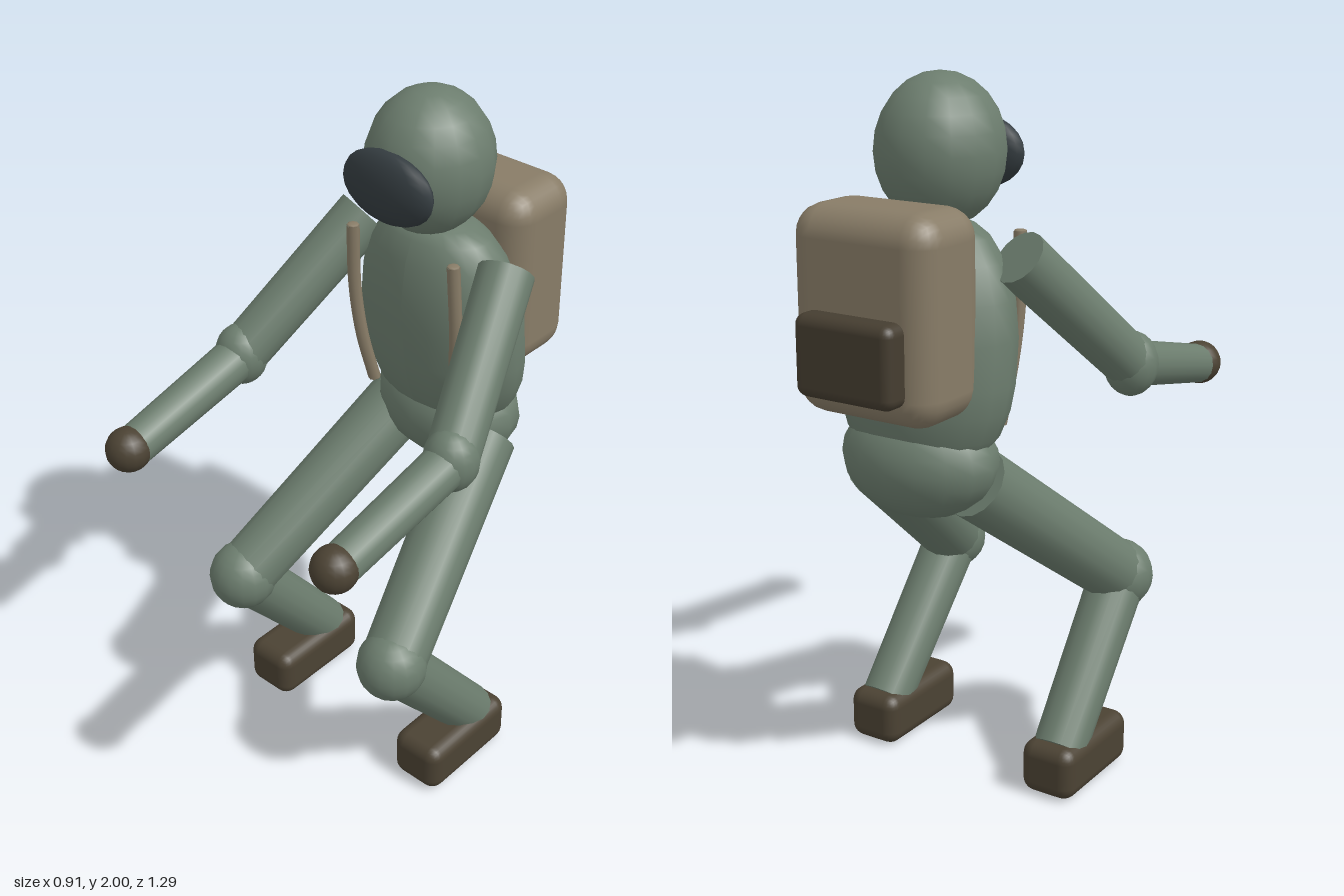
import * as THREE from 'three';
import { RoundedBoxGeometry } from 'three/addons/geometries/RoundedBoxGeometry.js';

const material = (name, color) => {
  const m = new THREE.MeshStandardMaterial({ color });
  m.name = name;
  return m;
};

export function createModel() {
  const model = new THREE.Group();
  model.name = 'crouchingExplorer';

  const suit = material('suit green', 0x6c7d6e);
  const canvas = material('canvas tan', 0x887c67);
  const leather = material('leather brown', 0x4b4233);
  const pocketBrown = material('pocket brown', 0x453d30);
  const glass = material('visor glass', 0x343c40);

  const add = (name, geometry, mat, position = [0, 0, 0]) => {
    const mesh = new THREE.Mesh(geometry, mat);
    mesh.name = name;
    mesh.position.set(...position);
    model.add(mesh);
    return mesh;
  };

  const ellipsoid = (name, mat, position, [rx, ry, rz]) =>
    add(name, new THREE.SphereGeometry(1, 16, 12).scale(rx, ry, rz), mat, position);

  // Tapered cylinder running from point a to point b
  const limb = (name, mat, a, b, ra, rb) => {
    const start = new THREE.Vector3(...a);
    const end = new THREE.Vector3(...b);
    const dir = end.clone().sub(start);
    const mesh = add(name, new THREE.CylinderGeometry(rb, ra, dir.length(), 16), mat);
    mesh.position.copy(start).add(end).multiplyScalar(0.5);
    mesh.quaternion.setFromUnitVectors(new THREE.Vector3(0, 1, 0), dir.normalize());
  };

  const box = (name, mat, position, [w, h, d], radius) =>
    add(name, new RoundedBoxGeometry(w, h, d, 3, radius), mat, position);

  // Torso: flattened barrel that leans forward towards the head
  const profile = [
    [0, 1.0], [0.13, 1.01], [0.19, 1.035], [0.225, 1.08], [0.25, 1.15], [0.26, 1.22],
    [0.26, 1.34], [0.245, 1.44], [0.21, 1.53], [0.165, 1.59], [0.12, 1.62], [0, 1.63],
  ].map(([r, y]) => new THREE.Vector2(r, y));
  const torso = new THREE.LatheGeometry(profile, 20);
  const p = torso.attributes.position;
  for (let i = 0; i < p.count; i++) {
    const lean = -0.305 + (p.getY(i) - 1.02) * 0.11;
    p.setZ(i, p.getZ(i) * 0.66 + lean);
  }
  torso.computeVertexNormals();
  add('torso', torso, suit);
  ellipsoid('pelvis', suit, [0, 1.0, -0.31], [0.23, 0.16, 0.167]);

  // Helmet and visor
  ellipsoid('helmet', suit, [0, 1.8, -0.205], [0.172, 0.2, 0.18]);
  ellipsoid('visor', glass, [0, 1.78, -0.039], [0.15, 0.1, 0.047]);

  // Backpack with its rear pocket
  box('backpack', canvas, [0, 1.425, -0.45], [0.435, 0.54, 0.265], 0.08);
  box('backpackPocket', pocketBrown, [0, 1.33, -0.6], [0.3, 0.215, 0.09], 0.03);

  for (const [side, s] of [['left', 1], ['right', -1]]) {
    // Shoulder strap
    const strap = new THREE.CatmullRomCurve3([
      [0.175, 1.59, -0.097], [0.18, 1.4, -0.108], [0.17, 1.24, -0.125], [0.157, 1.08, -0.163],
    ].map(([x, y, z]) => new THREE.Vector3(s * x, y, z)));
    add(side + 'Strap', new THREE.TubeGeometry(strap, 16, 0.018, 8), canvas);
    for (const t of [0, 1]) {
      add(side + 'StrapEnd', new THREE.SphereGeometry(0.018, 8, 6).scale(1, 0.3, 1), canvas,
        strap.getPoint(t).toArray());
    }

    // Arm
    const elbow = [s * 0.38, 1.21, 0.145];
    const wrist = [s * 0.375, 1.113, 0.57];
    limb(side + 'UpperArm', suit, [s * 0.25, 1.55, -0.225], elbow, 0.077, 0.072);
    ellipsoid(side + 'Elbow', suit, elbow, [0.076, 0.09, 0.076]);
    limb(side + 'Forearm', suit, elbow, wrist, 0.064, 0.057);
    ellipsoid(side + 'Hand', leather, [s * 0.375, 1.115, 0.58], [0.063, 0.063, 0.063]);

    // Leg
    const knee = [s * 0.292, 0.533, 0.27];
    limb(side + 'Thigh', suit, [s * 0.15, 0.95, -0.28], knee, 0.1, 0.092);
    ellipsoid(side + 'Knee', suit, knee, [0.1, 0.103, 0.1]);
    limb(side + 'Shin', suit, knee, [s * 0.302, 0.12, -0.073], 0.083, 0.076);
    box(side + 'Boot', leather, [s * 0.302, 0.0785, 0.012], [0.166, 0.155, 0.345], 0.04);
  }

  return model;
}
